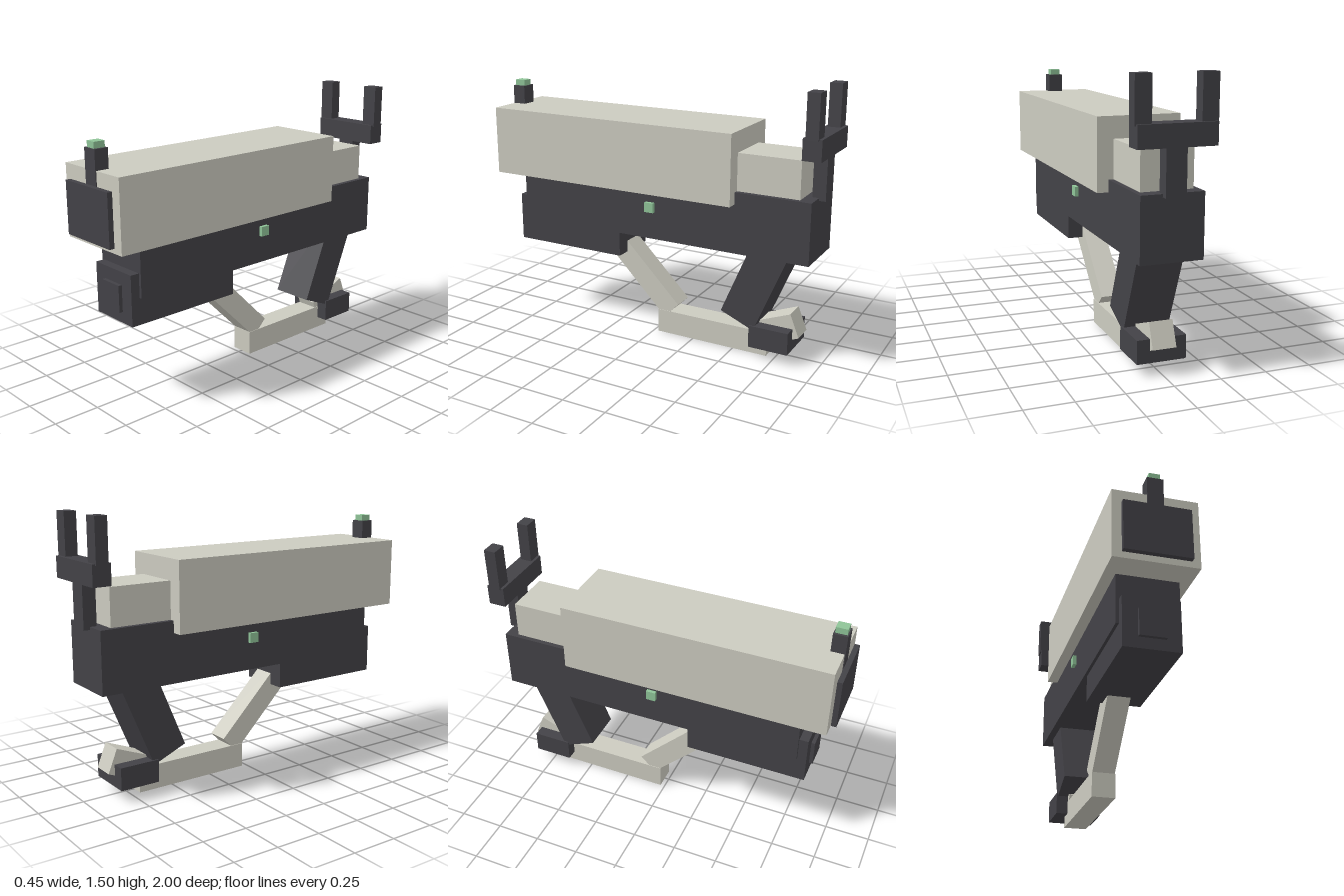
import * as THREE from 'three';

const material = (name, color) => {
  const m = new THREE.MeshStandardMaterial({ color });
  m.name = name;
  return m;
};

export function createModel() {
  const model = new THREE.Group();
  const light = material('warm grey', 0xcccbc0);
  const dark = material('charcoal', 0x434247);
  const green = material('soft green', 0x8fc498);

  // Box given by its limits on each axis
  function block(name, mat, [x0, x1], [y0, y1], [z0, z1]) {
    const mesh = new THREE.Mesh(new THREE.BoxGeometry(x1 - x0, y1 - y0, z1 - z0), mat);
    mesh.position.set((x0 + x1) / 2, (y0 + y1) / 2, (z0 + z1) / 2);
    mesh.name = name;
    model.add(mesh);
    return mesh;
  }

  // Box centred on x = 0 and tilted about the x axis
  function tilted(name, mat, size, y, z, angle) {
    const mesh = new THREE.Mesh(new THREE.BoxGeometry(...size), mat);
    mesh.position.set(0, y, z);
    mesh.rotation.x = angle;
    mesh.name = name;
    model.add(mesh);
  }

  const wide = (half) => [-half, half];

  // Upper body
  block('upperBody', light, wide(0.225), [0.87, 1.255], [-0.533, 0.965]);
  block('rearBlock', light, wide(0.138), [0.9, 1.14], [-0.88, -0.5]);
  block('frontPlate', dark, wide(0.177), [0.9, 1.18], [0.972, 1.0]);

  // Lower body and the box slung beneath its front
  block('frame', dark, wide(0.165), [0.6, 0.935], [-0.95, 0.815]);
  block('underBox', dark, wide(0.149), [0.455, 0.73], [0.18, 0.865]);
  block('underBoxFace', dark, wide(0.07), [0.515, 0.66], [0.86, 0.885]);
  block('sideButtons', green, wide(0.185), [0.755, 0.81], [-0.057, -0.003]);

  // Front post with its green tip
  block('frontPost', dark, wide(0.043), [1.11, 1.36], [0.893, 0.97]);
  block('frontPostTip', green, wide(0.029), [1.355, 1.393], [0.9, 0.963]);

  // Rear fork
  block('forkStem', dark, wide(0.053), [0.92, 1.16], [-0.985, -0.913]);
  block('forkBar', dark, wide(0.202), [1.155, 1.268], [-1.0, -0.9]);
  for (const side of [-1, 1]) {
    const prong = block('forkProng', dark, [0.125, 0.21], [1.26, 1.495], [-0.983, -0.916]);
    prong.position.x *= side;
  }

  // Rear leg and foot
  tilted('leg', dark, [0.248, 0.55, 0.207], 0.456, -0.651, -0.395);
  block('foot', dark, wide(0.132), [0.065, 0.19], [-0.845, -0.62]);

  // Pale bracket joining the foot to the under box
  tilted('bracketBrace', light, [0.126, 0.612, 0.124], 0.36, 0.107, Math.PI / 4);
  block('bracketBase', light, wide(0.066), [0, 0.137], [-0.7, -0.026]);
  tilted('bracketTail', light, [0.126, 0.139, 0.27], 0.159, -0.73, 0.38);

  return model;
}
